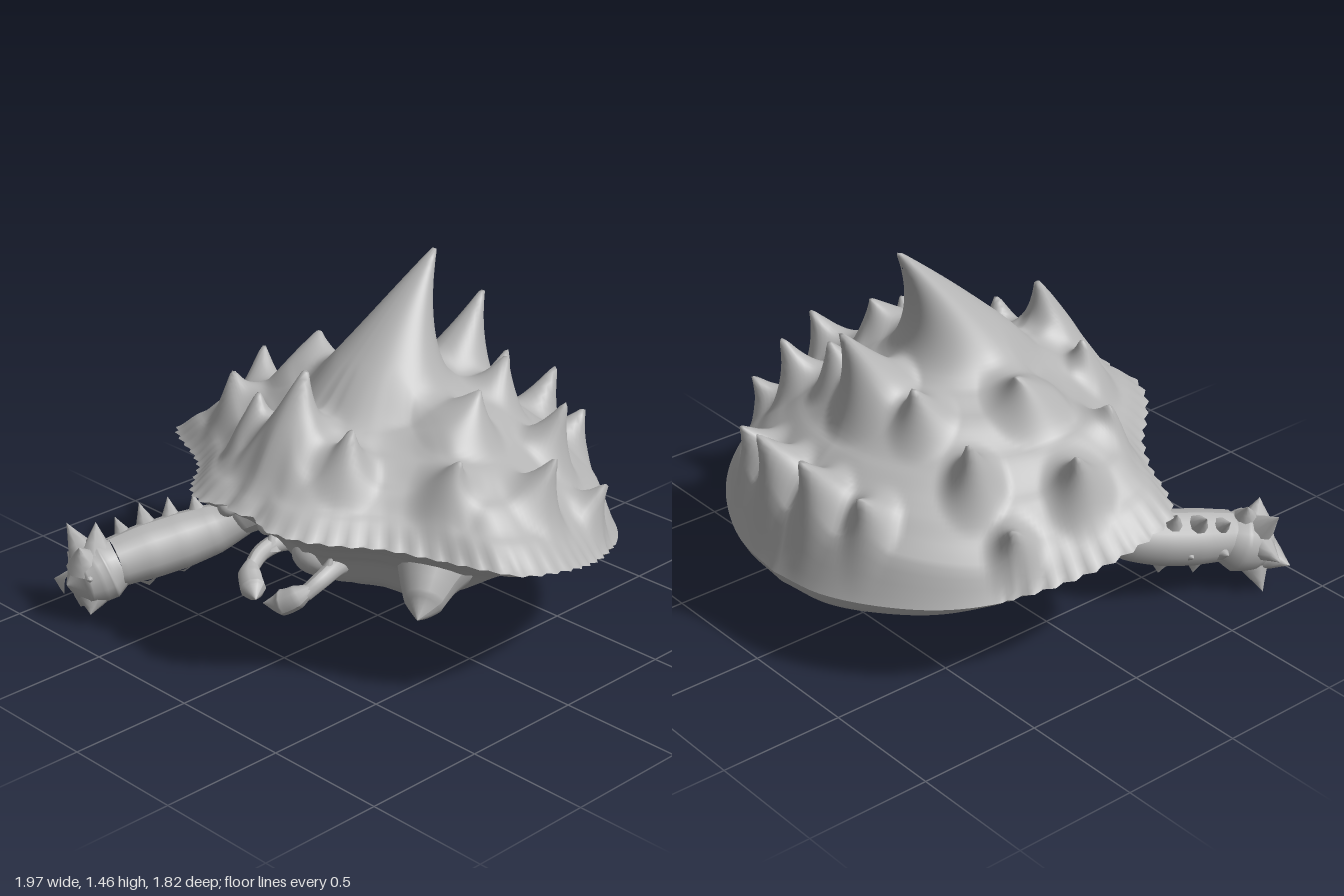
import * as THREE from 'three';

const V = (x, y, z) => new THREE.Vector3(x, y, z);
const grey = new THREE.MeshStandardMaterial({ color: 0xb4b4b4 });
grey.name = 'shell grey';

// Softened lookup in a list of [position, value] pairs
function lookup(table, t) {
  for (let i = 1; i < table.length; i++) {
    const [a, va] = table[i - 1], [b, vb] = table[i];
    if (t <= b) return va + (vb - va) * (THREE.MathUtils.smoothstep(t, a, b) * 0.4 + 0.6 * (t - a) / (b - a));
  }
  return table[table.length - 1][1];
}

// Shell rim: half outline from back to front, mirrored; each point has a tooth notch depth
const CZ = -0.05, HALF = 144, COLS = HALF * 2;
function makeRim() {
  const half = new THREE.CatmullRomCurve3([
    V(0, 0.35, -0.91), V(0.25, 0.36, -0.88), V(0.5, 0.38, -0.77), V(0.68, 0.4, -0.63),
    V(0.81, 0.43, -0.46), V(0.92, 0.48, -0.23), V(0.98, 0.545, 0), V(0.95, 0.585, 0.21),
    V(0.85, 0.6, 0.29), V(0.66, 0.61, 0.38), V(0.51, 0.63, 0.48), V(0.41, 0.645, 0.59),
    V(0.29, 0.665, 0.7), V(0.17, 0.68, 0.745), V(0.08, 0.69, 0.72), V(0, 0.695, 0.75),
  ]).getSpacedPoints(HALF);
  return Array.from({ length: COLS }, (_, i) => {
    const k = i <= HALF ? i : COLS - i, p = half[k];
    const notch = p.z > -0.48 ? 0.02 * [1, 0.5, 0, 0.5][k % 4] : 0;
    return { x: i > HALF ? -p.x : p.x, y: p.y, z: p.z, notch };
  });
}

// Polar skin stretched from the centre to the rim; place(rimPoint, t) gives each vertex
function skin(rim, rings, place, down) {
  const pos = [], idx = [];
  for (let j = 0; j <= rings; j++) {
    for (const p of rim) pos.push(...place(p, Math.max(j / rings, 0.002)).toArray());
  }
  for (let j = 0; j < rings; j++) for (let i = 0; i < COLS; i++) {
    const n = (i + 1) % COLS;
    const a = j * COLS + i, b = j * COLS + n, c = a + COLS, d = b + COLS;
    if (down) idx.push(a, c, d, a, d, b);
    else idx.push(a, d, c, a, b, d);
  }
  const g = new THREE.BufferGeometry();
  g.setAttribute('position', new THREE.Float32BufferAttribute(pos, 3));
  g.setIndex(idx);
  g.computeVertexNormals();
  return g;
}

// Shell spikes: tip, base x and z, radius, sharpness; those off the middle are mirrored
const SPIKES = [
  [V(0, 1.46, -0.3), 0, -0.01, 0.31, 1.5],
  [V(0, 1.15, 0.37), 0, 0.46, 0.2, 1.7],
  [V(0, 1.22, -0.57), 0, -0.43, 0.17, 1.6],
];
for (const [tip, x, z, r, e] of [
  [V(0.43, 1.06, -0.1), 0.4, -0.03, 0.17, 1.5],
  [V(0.25, 0.99, 0.38), 0.25, 0.41, 0.13, 1.9],
  [V(0.61, 0.92, 0.19), 0.57, 0.21, 0.14, 2],
  [V(0.79, 0.89, -0.13), 0.74, -0.07, 0.14, 1.9],
  [V(0.25, 1.05, -0.44), 0.24, -0.39, 0.13, 1.8],
  [V(0.56, 0.95, -0.44), 0.52, -0.38, 0.13, 1.9],
  [V(0.79, 0.7, -0.43), 0.74, -0.37, 0.11, 1.8],
  [V(0.36, 0.77, -0.78), 0.34, -0.71, 0.11, 1.6],
  [V(0.13, 0.86, -0.87), 0.12, -0.77, 0.12, 1.6],
]) {
  SPIKES.push([tip, x, z, r, e], [V(-tip.x, tip.y, tip.z), -x, z, r, e]);
}

// Height profiles from centre (0) to rim (1)
const DOME = [[0, 1], [0.3, 0.95], [0.45, 0.83], [0.6, 0.65], [0.75, 0.44], [0.87, 0.22], [1, 0]];
const DOME_BACK = [[0, 1], [0.3, 0.98], [0.5, 0.88], [0.65, 0.68], [0.8, 0.54], [0.93, 0.36], [1, 0]];
const BELLY = [[0, 1], [0.25, 0.95], [0.45, 0.72], [0.6, 0.42], [0.77, 0.22], [0.87, 0.11], [1, 0]];
const BELLY_BACK = [[0, 1], [0.6, 0.93], [0.7, 0.65], [0.9, 0.48], [0.96, 0.33], [1, 0]];

// Point below or above the rim, with teeth fading inwards and the back blended to its own profile
function spread(p, t, height, front, back) {
  const s = t * (1 - p.notch * Math.pow(t, 16));
  const b = Math.pow(Math.max(0, (CZ - p.z) / 0.86), 2);
  const f = THREE.MathUtils.lerp(lookup(front, t), lookup(back, t), b);
  return V(p.x * s, p.y + (height - p.y) * f, CZ + (p.z - CZ) * s);
}

function shellTop(p, t) {
  const v = spread(p, t, 1.0, DOME, DOME_BACK), out = v.clone();
  const hold = 1 - Math.pow(t, 24);
  for (const [tip, x, z, r, e] of SPIKES) {
    const d = Math.max(0, Math.hypot(v.x - x, v.z - z) - 0.011);
    if (d >= r) continue;
    const w = Math.pow(1 - d / r, e) * hold, lean = Math.pow(w, 1.4);
    out.x += (tip.x - x) * lean;
    out.z += (tip.z - z) * lean;
    out.y += Math.max(0, tip.y - v.y) * w;
  }
  return out;
}

function shellUnder(p, t) {
  const v = spread(p, t, 0.165, BELLY, BELLY_BACK);
  v.y += 0.04 * Math.sin(11 * Math.abs(v.x) + 1) * Math.sin(12 * v.z) * (1 - t);
  return v;
}

// Tube through points whose thickness follows a list of radii
function limb(points, radii, sides = 14) {
  const curve = new THREE.CatmullRomCurve3(points), n = 24;
  const g = new THREE.TubeGeometry(curve, n, 1, sides);
  const a = g.attributes.position, v = V(0, 0, 0);
  for (let i = 0; i <= n; i++) {
    const c = curve.getPointAt(i / n), f = (i / n) * (radii.length - 1);
    const k = Math.min(Math.floor(f), radii.length - 2);
    const r = THREE.MathUtils.lerp(radii[k], radii[k + 1], f - k);
    for (let j = 0; j <= sides; j++) {
      const q = i * (sides + 1) + j;
      v.fromBufferAttribute(a, q).sub(c).multiplyScalar(r).add(c);
      a.setXYZ(q, v.x, v.y, v.z);
    }
  }
  g.computeVertexNormals();
  return g;
}

// Flared thorn from a base point to a tip
function thorn(base, tip, r) {
  const d = tip.clone().sub(base), h = d.length();
  const g = new THREE.LatheGeometry([[r, 0], [r * 0.62, 0.4], [r * 0.28, 0.72], [0, 1]]
    .map(([x, y]) => new THREE.Vector2(x, y * h)), 8);
  g.applyQuaternion(new THREE.Quaternion().setFromUnitVectors(V(0, 1, 0), d.normalize()));
  return g.translate(base.x, base.y, base.z);
}

export function createModel() {
  const model = new THREE.Group();
  model.name = 'spikedCrab';
  const add = (name, geometry, parent = model) => {
    const m = new THREE.Mesh(geometry, grey);
    m.name = name;
    parent.add(m);
    return m;
  };

  // Shell and belly
  const rim = makeRim();
  add('shell', skin(rim, 60, shellTop, false));
  add('belly', skin(rim, 40, shellUnder, true));

  for (const s of [1, -1]) {
    const side = s > 0 ? 'left' : 'right';
    // Shoulder sockets
    add(side + 'Shoulder', limb([V(s * 0.42, 0.48, 0.08), V(s * 0.47, 0.41, 0.19), V(s * 0.52, 0.34, 0.28),
      V(s * 0.55, 0.315, 0.335), V(s * 0.553, 0.313, 0.34)], [0.15, 0.15, 0.11, 0.075, 0.001]));
    // Small curled mouth legs with pincer ends
    add(side + 'MouthLeg', limb([V(s * 0.1, 0.36, 0.24), V(s * 0.15, 0.4, 0.36), V(s * 0.165, 0.38, 0.46),
      V(s * 0.15, 0.34, 0.53)], [0.045, 0.04, 0.035, 0.03], 10));
    add(side + 'MouthPincer', limb([V(s * 0.17, 0.37, 0.5), V(s * 0.13, 0.33, 0.55), V(s * 0.08, 0.3, 0.58),
      V(s * 0.02, 0.29, 0.62)], [0.015, 0.045, 0.05, 0.001], 10));
    add(side + 'MouthThorn', thorn(V(s * 0.15, 0.38, 0.42), V(s * 0.165, 0.47, 0.4), 0.035));
    // Eyes tucked under the front rim
    add(side + 'Eye', new THREE.SphereGeometry(0.038, 14, 10)).position.set(s * 0.11, 0.66, 0.67);
  }
  // Mouth plate
  const mouth = add('mouth', new THREE.SphereGeometry(1, 20, 14));
  mouth.scale.set(0.12, 0.08, 0.11);
  mouth.position.set(0, 0.38, 0.3);

  // Right arm with thorns
  const arm = new THREE.Group();
  arm.name = 'rightArm';
  model.add(arm);
  add('upperArm', limb([V(-0.5, 0.35, 0.24), V(-0.58, 0.3, 0.34), V(-0.65, 0.265, 0.48), V(-0.71, 0.24, 0.63),
    V(-0.74, 0.225, 0.72)], [0.07, 0.1, 0.112, 0.112, 0.1]), arm);
  for (const [bx, by, bz, x, y, z] of [
    [-0.62, 0.34, 0.38, -0.67, 0.43, 0.37], [-0.68, 0.32, 0.47, -0.74, 0.42, 0.44],
    [-0.72, 0.31, 0.56, -0.81, 0.4, 0.53], [-0.74, 0.28, 0.65, -0.84, 0.36, 0.63],
    [-0.71, 0.22, 0.51, -0.79, 0.23, 0.49], [-0.76, 0.2, 0.64, -0.85, 0.22, 0.62],
    [-0.64, 0.18, 0.46, -0.65, 0.12, 0.44], [-0.69, 0.16, 0.6, -0.7, 0.09, 0.58],
  ]) add('armThorn', thorn(V(bx, by, bz), V(x, y, z), 0.055), arm);

  // Claw stump with long thorns
  add('claw', limb([V(-0.735, 0.225, 0.7), V(-0.765, 0.2, 0.76), V(-0.79, 0.175, 0.85), V(-0.8, 0.17, 0.9),
    V(-0.801, 0.17, 0.91)], [0.095, 0.125, 0.12, 0.1, 0.001]), arm);
  for (const [bx, by, bz, x, y, z] of [
    [-0.81, 0.2, 0.8, -0.99, 0.2, 0.76], [-0.8, 0.12, 0.8, -0.88, 0.005, 0.79],
    [-0.81, 0.24, 0.8, -0.93, 0.36, 0.8], [-0.77, 0.26, 0.78, -0.82, 0.38, 0.74],
    [-0.83, 0.14, 0.84, -0.95, 0.13, 0.86], [-0.75, 0.12, 0.82, -0.71, 0.06, 0.87],
    [-0.75, 0.2, 0.83, -0.69, 0.22, 0.88], [-0.77, 0.25, 0.84, -0.75, 0.34, 0.88],
  ]) add('clawThorn', thorn(V(bx, by, bz), V(x, y, z), 0.075), arm);

  return model;
}
